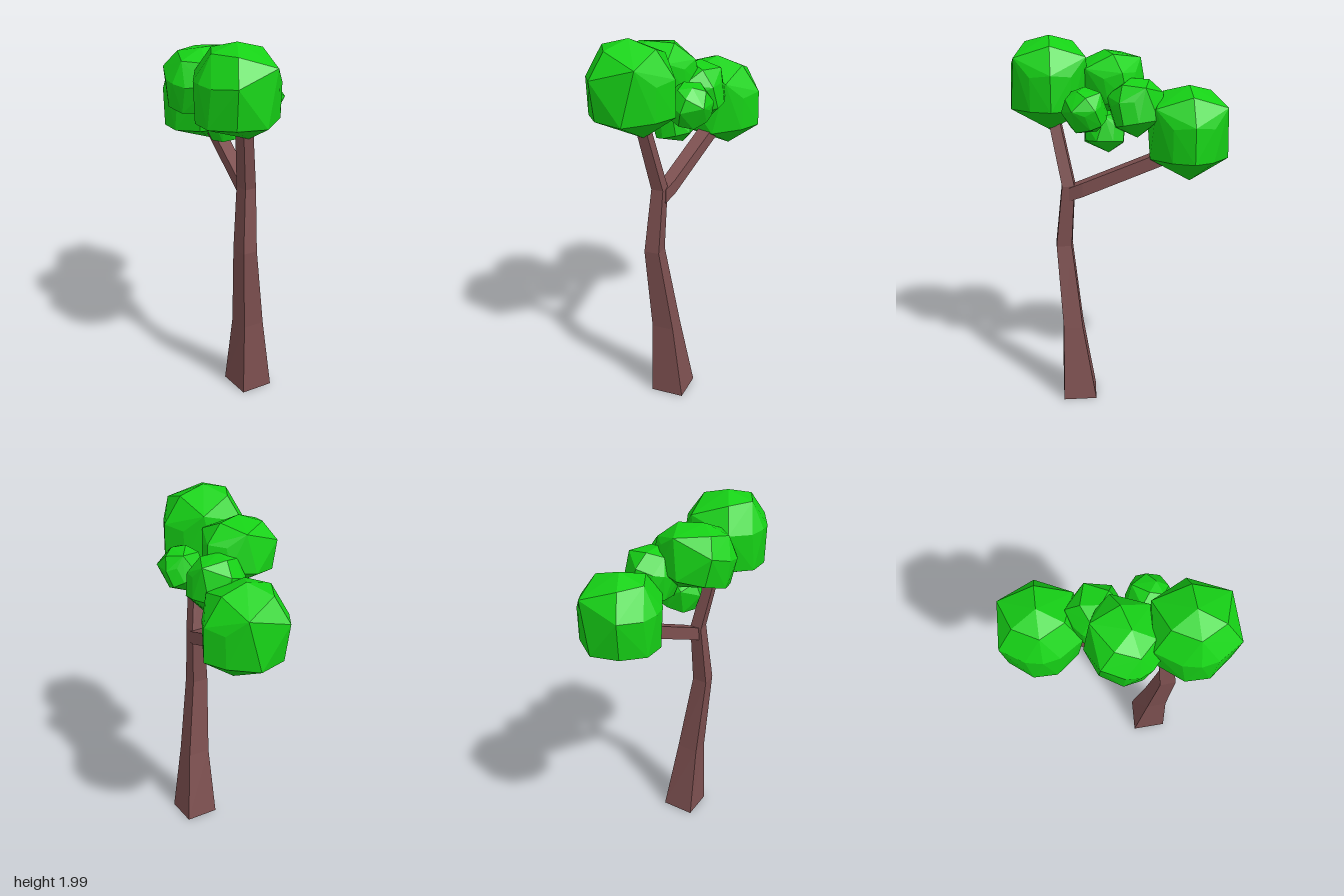
import * as THREE from 'three';
import { ConvexGeometry } from 'three/addons/geometries/ConvexGeometry.js';

const bark = new THREE.MeshStandardMaterial({ color: 0x7d5050, flatShading: true });
const leaf = new THREE.MeshStandardMaterial({ color: 0x16d216, flatShading: true });

// Four-sided limb skinned over rings of four corners, closed at both ends
function limb(name, rings) {
  const pos = [], index = [];
  rings.forEach(ring => ring.forEach(p => pos.push(...p)));
  for (let r = 0; r < rings.length - 1; r++) {
    for (let i = 0; i < 4; i++) {
      const a = r * 4 + i, b = r * 4 + (i + 1) % 4;
      index.push(a, b, b + 4, a, b + 4, a + 4);
    }
  }
  const e = (rings.length - 1) * 4;
  index.push(0, 2, 1, 0, 3, 2, e, e + 1, e + 2, e, e + 2, e + 3);
  const geo = new THREE.BufferGeometry();
  geo.setAttribute('position', new THREE.Float32BufferAttribute(pos, 3));
  geo.setIndex(index);
  const flat = geo.toNonIndexed();
  flat.computeVertexNormals();
  const mesh = new THREE.Mesh(flat, bark);
  mesh.name = name;
  return mesh;
}

// Slightly skewed horizontal trunk section: x range, height, z range
const section = ([x0, x1, y, z0, z1]) =>
  [[x0 + 0.008, y, z1], [x1, y, z1], [x1, y, z0 + 0.008], [x0, y, z0]];

// Upright branch section centred on a point, ordered for a limb running to -z
const slice = ([x, y, z, w, h]) =>
  [[x - w, y + h, z], [x + w, y + h, z], [x + w, y - h, z], [x - w, y - h, z]];

// Faceted leaf clump, mirrored across z
function clumpGeometry() {
  const half = [
    [-0.015, 0.24, 0], [0.125, 0.20, 0], [-0.155, 0.20, 0],
    [0.222, 0.066, 0], [0.225, -0.12, 0], [-0.225, 0.066, 0], [0.055, -0.245, 0],
    [-0.085, 0.20, 0.125], [0.095, 0.14, 0.185], [-0.13, 0.075, 0.203],
    [0.03, -0.135, 0.205], [-0.12, -0.13, 0.175], [-0.21, -0.14, 0.06],
    [0.165, -0.125, 0.105], [-0.205, 0.06, 0.085], [0.17, 0.05, 0.105],
  ];
  const pts = [];
  for (const [x, y, z] of half) {
    pts.push(new THREE.Vector3(x, y, z));
    if (z > 0) pts.push(new THREE.Vector3(x, y, -z));
  }
  return new ConvexGeometry(pts);
}

export function createModel() {
  const tree = new THREE.Group();
  tree.name = 'tree';

  // Trunk, leaning into the front limb
  tree.add(limb('trunk', [
    [-0.043, 0.142, 0.005, 0.133, 0.32],
    [-0.038, 0.087, 0.42, 0.201, 0.314],
    [-0.066, 0.022, 0.88, 0.252, 0.342],
    [-0.038, 0.033, 1.22, 0.233, 0.306],
    [-0.094, -0.032, 1.58, 0.306, 0.372],
  ].map(section)));

  // Side branch reaching back
  tree.add(limb('branch', [
    [0.0, 1.175, 0.27, 0.034, 0.036],
    [0.022, 1.205, 0.2, 0.034, 0.038],
    [0.095, 1.4, -0.25, 0.037, 0.036],
  ].map(slice)));

  // Leaf clumps: position, scale, rotation
  const geo = clumpGeometry();
  [
    ['frontFoliage', [-0.10, 1.755, 0.355], [1, 1, 1], [0, 0, 0]],
    ['backFoliage', [0.098, 1.52, -0.353], [1, 1, 1], [0, 0, 0]],
    ['upperFoliage', [-0.11, 1.745, 0.03], [0.94, 0.73, 0.83], [0.15, 0.25, 0.12]],
    ['middleFoliage', [0.08, 1.65, -0.075], [0.65, 0.62, 0.65], [0.3, -0.6, 0.2]],
    ['smallFoliage', [0.133, 1.645, 0.18], [0.5, 0.48, 0.5], [0.5, 0.4, -0.3]],
    ['lowerFoliage', [0.0, 1.515, 0.072], [0.5, 0.47, 0.52], [-0.4, 0.9, 0.4]],
  ].forEach(([name, p, s, r]) => {
    const mesh = new THREE.Mesh(geo, leaf);
    mesh.name = name;
    mesh.position.set(...p);
    mesh.scale.set(...s);
    mesh.rotation.set(...r);
    tree.add(mesh);
  });
  return tree;
}
